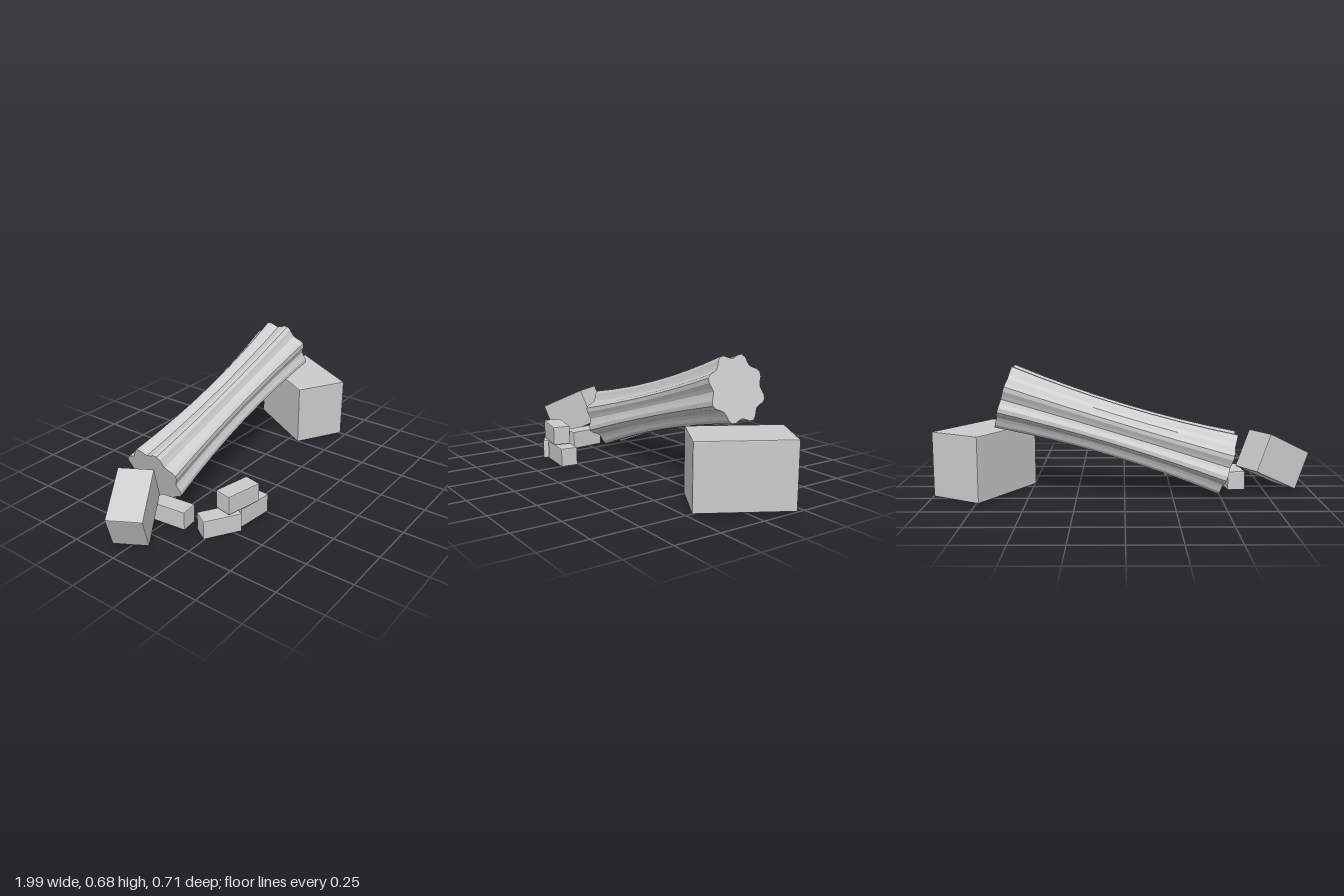
import * as THREE from 'three';
import { RoundedBoxGeometry } from 'three/addons/geometries/RoundedBoxGeometry.js';

const stone = new THREE.MeshStandardMaterial({ color: 0xcccccc, flatShading: true });
const rad = THREE.MathUtils.degToRad;

// Worn stone block: size, centre, turn about y, then roll about its own z
function block(name, size, position, turn, roll = 0) {
  const mesh = new THREE.Mesh(new RoundedBoxGeometry(...size, 1, 0.005), stone);
  mesh.name = name;
  mesh.position.set(...position);
  mesh.rotation.set(0, rad(turn), rad(roll), 'YXZ');
  return mesh;
}

// Fluted shaft with eight ribs, narrowing towards the middle
function flutedColumn(length) {
  const geometry = new THREE.CylinderGeometry(1, 1, length, 48, 8);
  const p = geometry.attributes.position;
  for (let i = 0; i < p.count; i++) {
    const x = p.getX(i), z = p.getZ(i);
    const t = p.getY(i) / (length / 2);
    const waist = 1 - 0.18 * (1 - t * t);
    const r = (0.162 - 0.015 * Math.cos(8 * Math.atan2(z, x))) * waist;
    p.setX(i, x * r);
    p.setZ(i, z * r);
  }
  geometry.computeVertexNormals();
  const mesh = new THREE.Mesh(geometry, stone);
  mesh.name = 'fallenColumn';
  return mesh;
}

export function createModel() {
  const model = new THREE.Group();
  model.name = 'columnRuin';

  // Toppled column, one end on the ground and the other above the large block
  const column = flutedColumn(1.212);
  column.position.set(0.042, 0.347, -0.152);
  column.rotation.z = rad(-73);
  model.add(column);

  // Large blocks
  model.add(block('supportBlock', [0.30, 0.343, 0.49], [0.745, 0.172, -0.072], -30));
  model.add(block('tiltedBlock', [0.30, 0.213, 0.18], [-0.8, 0.163, -0.048], 30, 25));

  // Small scattered bricks
  const brick = [0.2, 0.102, 0.095];
  model.add(block('leftBrick', brick, [-0.525, 0.051, 0.26], -32));
  model.add(block('rightBrick', brick, [-0.335, 0.051, 0.297], -6));
  model.add(block('upperBrick', brick, [-0.4125, 0.157, 0.29], -12));
  model.add(block('rearBrick', brick, [-0.593, 0.051, 0.018], -84));
  return model;
}
